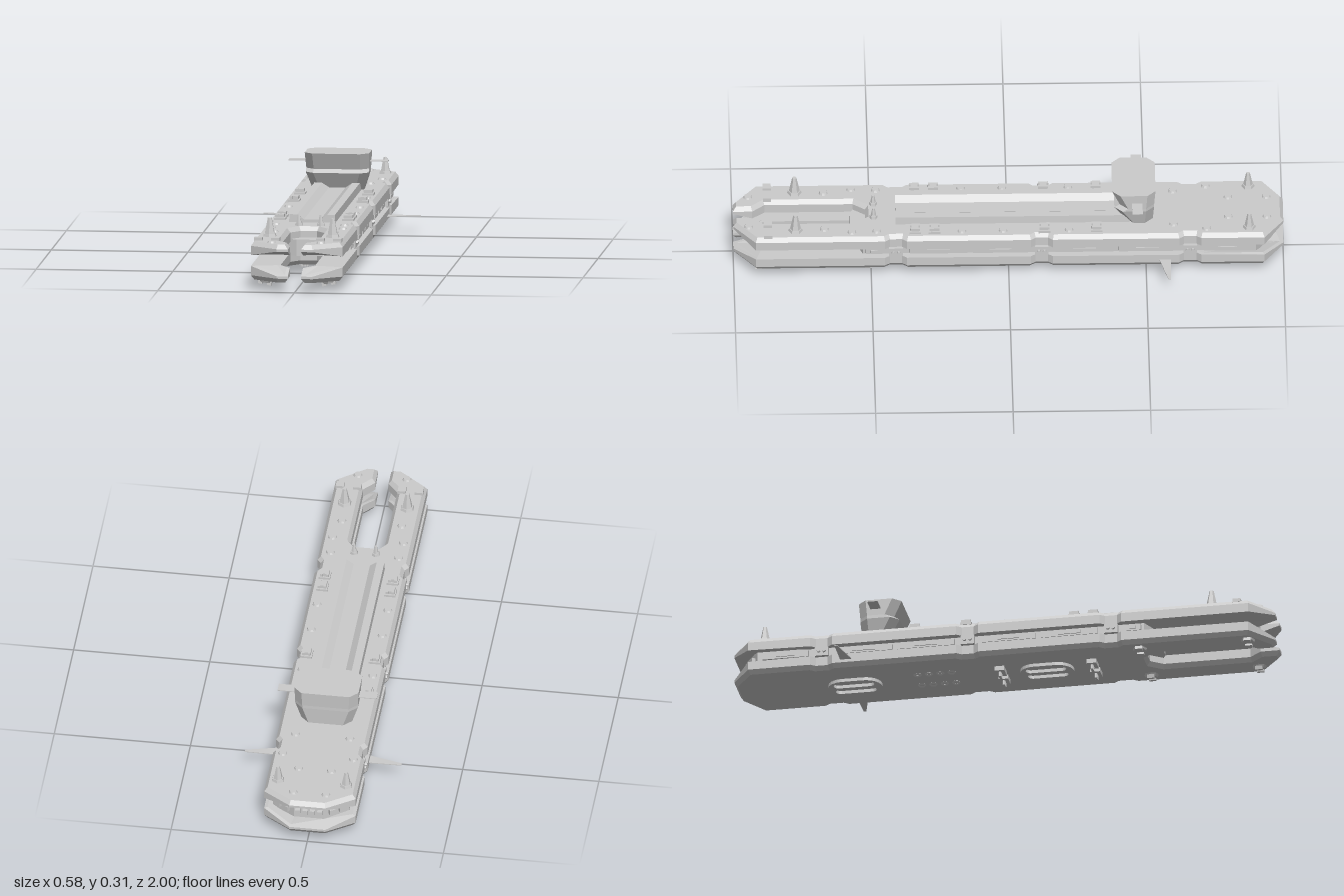
import * as THREE from 'three';

const grey = new THREE.MeshStandardMaterial({ color: 0xcccccc, flatShading: true });
const thin = new THREE.MeshStandardMaterial({ color: 0xcccccc, flatShading: true, side: THREE.DoubleSide });
const MID = 0.105; // height of the plane the hull is mirrored about
const GUN_Z = [0.41, -0.12, -0.66]; // side gun stations

export function createModel() {
  const ship = new THREE.Group();
  ship.name = 'ship';

  const add = (name, geo, x = 0, y = 0, z = 0, parent = ship, mat = grey) => {
    const m = new THREE.Mesh(geo, mat);
    m.name = name;
    m.position.set(x, y, z);
    parent.add(m);
    return m;
  };
  const box = (name, w, h, d, x, y, z, parent) => add(name, new THREE.BoxGeometry(w, h, d), x, y, z, parent);
  const cyl = (name, rt, rb, h, n, x, y, z, parent) => add(name, new THREE.CylinderGeometry(rt, rb, h, n), x, y, z, parent);
  const sides = (fn) => [1, -1].forEach(fn);
  const group = (name, x, y, z, parent = ship) => {
    const g = new THREE.Group();
    g.name = name;
    g.position.set(x, y, z);
    parent.add(g);
    return g;
  };

  // closed outline from its +x half, given as [x, z]
  const mirrored = (half) => new THREE.Shape(
    [...half, ...half.map(([x, z]) => [-x, z]).reverse()].map(([x, z]) => new THREE.Vector2(x, -z)));
  const slab = (shape, depth, opts = {}) =>
    new THREE.ExtrudeGeometry(shape, { depth, bevelEnabled: false, curveSegments: 6, ...opts }).rotateX(-Math.PI / 2);

  // armour plates: forked bow, notched sides, chamfered outer rim, thin ends
  const rim = [];
  for (const z of GUN_Z)
    rim.push([0.168, z + 0.04], [0.154, z + 0.022], [0.154, z - 0.022], [0.168, z - 0.04]);
  const plateShape = mirrored([
    [0.03, 0.52], [0.063, 0.565], [0.063, 0.885], [0.024, 0.93], [0.024, 1], [0.066, 1],
    [0.168, 0.92], ...rim, [0.168, -0.93], [0.066, -1],
  ]);
  const plate = slab(plateShape, 0.034, { bevelEnabled: true, bevelThickness: 0.016, bevelSize: 0.012, bevelOffset: -0.012, bevelSegments: 1 });
  const p = plate.attributes.position;
  for (let i = 0; i < p.count; i++) {
    if (p.getY(i) > 0.01) continue;
    const t = THREE.MathUtils.clamp((Math.abs(p.getZ(i)) - 0.92) / 0.08, 0, 1);
    p.setY(i, 0.025 * t);
  }
  plate.computeVertexNormals();
  add('upperPlate', plate, 0, 0.125);
  add('lowerPlate', plate, 0, 2 * MID - 0.125).rotation.z = Math.PI;

  // recessed core between the plates, with a wedge-shaped bow
  const core = [[0.04, 0.575], [0.14, 0.53], [0.14, -0.9], [0.055, -0.955]];
  add('core', slab(mirrored(core), 0.06), 0, MID - 0.03);

  // side belt panels between the gun stations
  const belts = [[0.52, 0.46], [0.36, 0.15], [0.13, -0.07], [-0.17, -0.38], [-0.4, -0.61], [-0.71, -0.88]];
  sides((s) => belts.forEach(([a, b]) => {
    box('sideBelt', 0.018, 0.024, a - b, s * 0.145, MID, (a + b) / 2);
    box('beltWindow', 0.008, 0.012, (a - b) * 0.4, s * 0.154, MID, (a + b) / 2);
  }));

  // side guns in the notches
  sides((s) => GUN_Z.forEach((z) => {
    const g = group('sideGun', s * 0.15, MID, z);
    box('gunMount', 0.024, 0.034, 0.05, 0, 0, 0, g);
    for (const dz of [-0.01, 0.01])
      cyl('gunBarrel', 0.006, 0.007, 0.018, 6, s * 0.011, 0, dz, g).rotation.z = Math.PI / 2;
  }));

  // stern engine ports along the rear face and its angled corners
  for (let i = 0; i < 4; i++) box('sternPort', 0.018, 0.02, 0.024, (i - 1.5) * 0.027, MID, -0.958);
  sides((s) => [0.3, 0.7].forEach((t) => {
    const m = box('cornerPort', 0.022, 0.02, 0.024, s * (0.055 + 0.085 * t), MID, -0.957 + 0.055 * t);
    m.rotation.y = s * -0.574;
  }));

  // long deck ridge with a shallow channel along its top
  const ridge = new THREE.Shape([
    [-0.085, 0], [0.085, 0], [0.083, 0.034], [0.055, 0.034], [0.03, 0.016], [-0.03, 0.016], [-0.055, 0.034], [-0.083, 0.034],
  ].map(([x, y]) => new THREE.Vector2(x, y)));
  add('deckRidge', new THREE.ExtrudeGeometry(ridge, { depth: 0.85, bevelEnabled: false }), 0, 0.17, -0.44);

  // command tower: eight-sided sections [y, halfWidth, frontZ, backZ], bottom to top
  const sections = [[0.17, 0.092, -0.43, -0.525], [0.243, 0.115, -0.385, -0.53], [0.255, 0.115, -0.405, -0.53], [0.315, 0.118, -0.377, -0.535]];
  const c = 0.03, pos = [], idx = [];
  sections.forEach(([y, w, f, b]) => {
    for (const [x, z] of [[w - c, f], [w, f - c], [w, b + c], [w - c, b], [c - w, b], [-w, b + c], [-w, f - c], [c - w, f]]) pos.push(x, y, z);
  });
  for (let r = 0; r < 3; r++) for (let i = 0; i < 8; i++) {
    const a = r * 8 + i, b = r * 8 + (i + 1) % 8;
    idx.push(a, b, b + 8, a, b + 8, a + 8);
  }
  for (let i = 1; i < 7; i++) idx.push(24, 24 + i, 25 + i);
  const towerGeo = new THREE.BufferGeometry();
  towerGeo.setAttribute('position', new THREE.Float32BufferAttribute(pos, 3));
  towerGeo.setIndex(idx);
  towerGeo.computeVertexNormals();
  add('commandTower', towerGeo, 0, 0, 0, ship, thin);

  // tower winglets and swept hull fins
  sides((s) => {
    box('towerWinglet', 0.07, 0.003, 0.038, s * 0.147, 0.28, -0.468);
    const fin = new THREE.Shape([[0.14, 0.59], [0.288, 0.588], [0.288, 0.578], [0.165, 0.547], [0.14, 0.547]]
      .map(([x, y]) => new THREE.Vector2(s * x, y)));
    add('hullFin', slab(fin, 0.003), 0, 0.062, 0, ship, thin);
  });

  // deck fittings, mirrored left and right
  sides((s) => {
    // spires [x, z, height, base radius]
    for (const [x, z, h, r] of [[0.115, 0.775, 0.07, 0.028], [0.125, -0.875, 0.062, 0.025], [0.04, 0.49, 0.042, 0.016]]) {
      cyl('spire', r * 0.28, r * 0.8, h, 6, s * x, 0.173 + h / 2, z);
      cyl('spireBase', r * 0.85, r, 0.014, 6, s * x, 0.178, z);
    }
    // twin-gun turrets
    for (const z of [-0.32, -0.13, 0.27, 0.34]) {
      const g = group('deckTurret', s * 0.125, 0.174, z);
      box('turretBase', 0.042, 0.01, 0.042, 0, 0.004, 0, g);
      box('turretHousing', 0.03, 0.016, 0.026, 0, 0.013, 0, g);
      for (const dx of [-0.011, 0.011]) box('turretBarrel', 0.01, 0.01, 0.036, dx, 0.016, 0, g);
    }
    // square bow hatches
    for (const x of [0.145, 0.082]) box('bowHatch', 0.03, 0.014, 0.03, s * x, 0.178, 0.875);
    // low round hatches
    for (const [x, z] of [[0.09, 0.945], [0.11, 0.67], [0.13, 0.57], [0.125, 0.48], [0.13, 0.17], [0.13, 0.02], [0.13, -0.22], [0.1, -0.6], [0.13, -0.72], [0.06, -0.8], [0.06, -0.94]])
      cyl('roundHatch', 0.013, 0.017, 0.008, 10, s * x, 0.178, z);
  });

  // keel guns [x, z, depth below the hull]
  sides((s) => {
    for (const z of [0.32, -0.02]) {
      const g = group('keelGun', s * 0.038, 0.035, z);
      box('keelGunMount', 0.052, 0.02, 0.036, 0, -0.007, 0, g);
      for (const dx of [-0.01, 0, 0.01])
        cyl('keelGunBarrel', 0.005, 0.006, 0.022, 6, dx, -0.024, 0, g);
    }
    for (const z of [0.91, 0.51]) {
      const g = group('bellyTurret', s * 0.115, 0.035, z);
      g.rotation.z = s * 0.18;
      cyl('bellyTurretBase', 0.028, 0.022, 0.012, 8, 0, -0.003, 0, g);
      for (const dx of [-0.017, 0.017]) box('bellyBarrel', 0.016, 0.014, 0.026, dx, -0.01, 0, g);
    }
    // thruster rings
    for (let i = 0; i < 4; i++)
      add('bellyThruster', new THREE.TorusGeometry(0.012, 0.004, 4, 10).rotateX(Math.PI / 2), s * 0.045, 0.034, -0.2 - i * 0.042);
  });

  // keel bay frames: rounded panels with two long openings
  const stadium = (S, x, r, l) => {
    const o = new S();
    o.absarc(x, l - r, r, 0, Math.PI);
    o.absarc(x, r - l, r, Math.PI, 2 * Math.PI);
    o.closePath();
    return o;
  };
  const bay = stadium(THREE.Shape, 0, 0.06, 0.1);
  sides((s) => bay.holes.push(stadium(THREE.Path, s * 0.024, 0.018, 0.075)));
  for (const z of [0.145, -0.565]) add('keelBay', slab(bay, 0.014), 0, 0.023, z);

  return ship;
}
